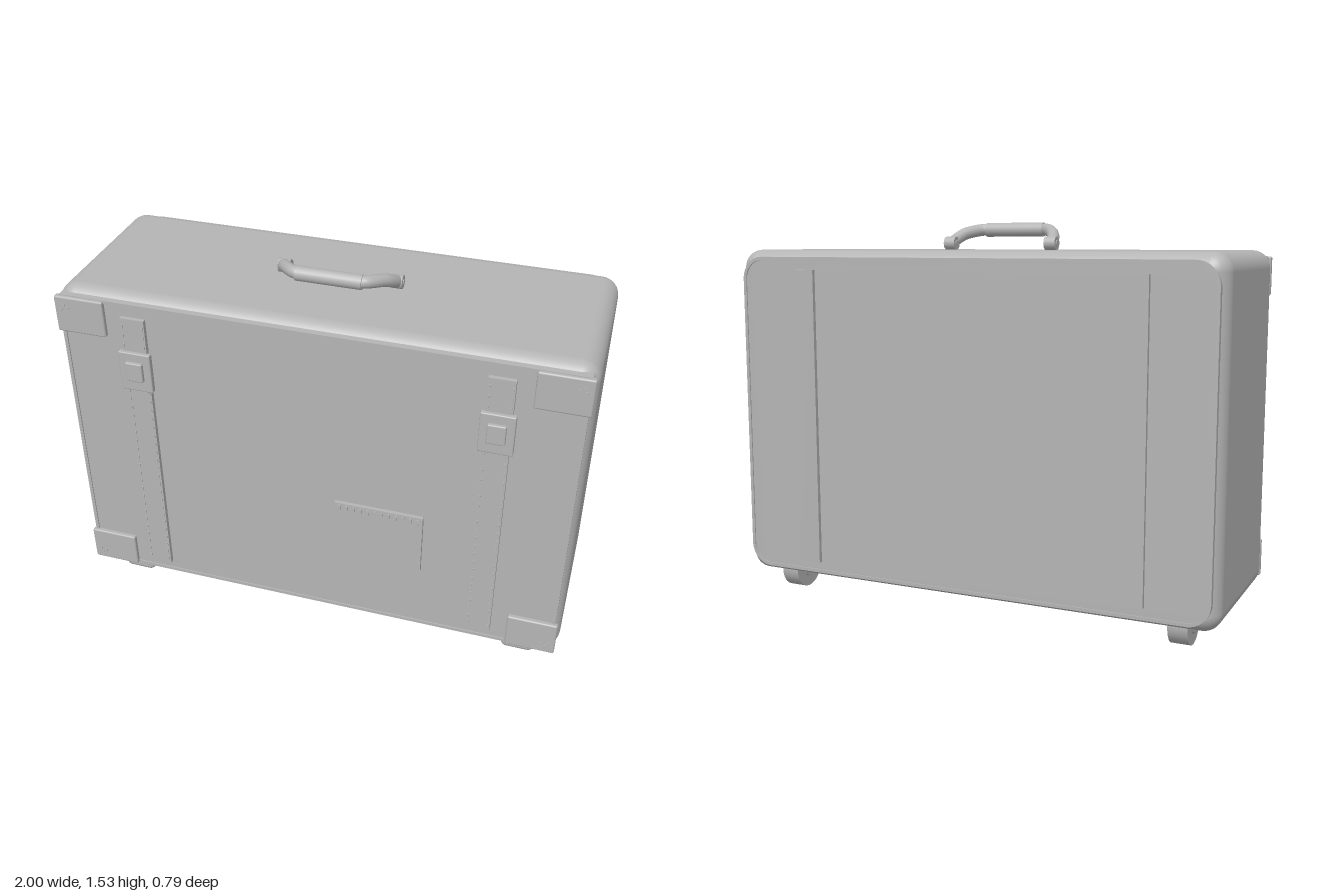
import * as THREE from 'three';
import { mergeGeometries } from 'three/addons/utils/BufferGeometryUtils.js';
import { RoundedBoxGeometry } from 'three/addons/geometries/RoundedBoxGeometry.js';

const grey = new THREE.MeshStandardMaterial({ color: 0xb4b4b4 });
grey.name = 'plain grey';

function add(parent, name, geometry, x = 0, y = 0, z = 0) {
  const mesh = new THREE.Mesh(geometry, grey);
  mesh.name = name;
  mesh.position.set(x, y, z);
  parent.add(mesh);
  return mesh;
}

const box = (w, h, d) => new THREE.BoxGeometry(w, h, d);
const rounded = (w, h, d, r) => new RoundedBoxGeometry(w, h, d, 3, r);

// Many small studs merged into one geometry
function studs(points, w, h, d) {
  return mergeGeometries(points.map(([x, y, z]) => box(w, h, d).translate(x, y, z)));
}

// Rounded rectangle outline centred on the origin
function outline(target, w, h, r) {
  const x = w / 2, y = h / 2;
  target.moveTo(-x + r, -y);
  target.lineTo(x - r, -y);
  target.absarc(x - r, -y + r, r, -Math.PI / 2, 0);
  target.lineTo(x, y - r);
  target.absarc(x - r, y - r, r, 0, Math.PI / 2);
  target.lineTo(-x + r, y);
  target.absarc(-x + r, y - r, r, Math.PI / 2, Math.PI);
  target.lineTo(-x, -y + r);
  target.absarc(-x + r, -y + r, r, Math.PI, Math.PI * 1.5);
  return target;
}

function frame(w, h, r, thick, depth) {
  const shape = outline(new THREE.Shape(), w, h, r);
  shape.holes.push(outline(new THREE.Path(), w - 2 * thick, h - 2 * thick, Math.max(r - thick, 0.003)));
  return new THREE.ExtrudeGeometry(shape, { depth, bevelEnabled: false, curveSegments: 8 });
}

// Carrying handle: a thick grip, two bent arms and a ring at each end
function makeHandle() {
  const handle = new THREE.Group();
  handle.name = 'handle';
  const grip = new THREE.CylinderGeometry(0.028, 0.028, 0.25, 20).rotateZ(Math.PI / 2);
  add(handle, 'grip', grip, 0, 1.5, 0.127);
  for (const s of [-1, 1]) {
    const path = new THREE.CatmullRomCurve3([
      [0.11, 1.5, 0.127], [0.14, 1.5, 0.118], [0.19, 1.485, 0.06],
      [0.208, 1.467, 0.025], [0.218, 1.447, -0.012],
    ].map(([x, y, z]) => new THREE.Vector3(s * x, y, z)));
    add(handle, 'handleArm', new THREE.TubeGeometry(path, 20, 0.024, 14));
    const eye = new THREE.CylinderGeometry(0.026, 0.026, 0.046, 20).rotateZ(Math.PI / 2);
    add(handle, 'handleEye', eye, s * 0.217, 1.446, -0.016);
    const pin = new THREE.CylinderGeometry(0.012, 0.012, 0.052, 12).rotateZ(Math.PI / 2);
    add(handle, 'handlePin', pin, s * 0.217, 1.446, -0.016);
  }
  return handle;
}

export function createModel() {
  const model = new THREE.Group();
  model.name = 'suitcase';

  // Case and the raised frames around its two large faces
  add(model, 'case', new RoundedBoxGeometry(2, 1.33, 0.725, 6, 0.07), 0, 0.755, -0.0145);
  add(model, 'frontPanel', box(1.95, 1.27, 0.03), 0, 0.755, 0.335);
  add(model, 'frontFrame', frame(1.96, 1.285, 0.01, 0.014, 0.035), 0, 0.755, 0.32);
  add(model, 'backPanel', new THREE.ExtrudeGeometry(outline(new THREE.Shape(), 1.93, 1.25, 0.08),
    { depth: 0.03, bevelEnabled: false }), 0, 0.755, -0.3775);
  add(model, 'backFrame', frame(1.95, 1.275, 0.09, 0.013, 0.04), 0, 0.755, -0.382);

  for (const s of [-1, 1]) {
    // Straps with two rows of stitching, and a buckle
    const cx = s * 0.683;
    add(model, 'frontStrap', box(0.097, 1.18, 0.02), cx, 0.753, 0.357);
    add(model, 'backStrap', box(0.097, 1.18, 0.018), cx, 0.753, -0.384);
    const stitches = [];
    for (let i = 0; i < 29; i++) {
      for (const dx of [-0.04, 0.04]) stitches.push([cx + dx, 0.19 + i * 0.04, 0.368]);
    }
    add(model, 'strapStitches', studs(stitches, 0.006, 0.014, 0.006));
    add(model, 'buckle', rounded(0.127, 0.165, 0.024, 0.005), cx, 1.124, 0.37);
    add(model, 'buckleButton', rounded(0.068, 0.08, 0.022, 0.005), cx, 1.13, 0.385);

    // Corner protectors with three rivets each
    for (const t of [-1, 1]) {
      const x = s * 0.893, y = 0.755 + t * 0.566;
      add(model, 'cornerPlate', rounded(0.196, 0.148, 0.024, 0.007), x, y, 0.356);
      const rivets = [[0.06, 0.04], [0.07, 0.022], [0.045, 0.03]].map(
        ([dx, dy]) => [x + s * dx, y + t * dy, 0.368]);
      add(model, 'cornerRivets', studs(rivets, 0.009, 0.009, 0.006));
    }

    // Front foot, and a rear wheel half sunk into the case
    add(model, 'foot', rounded(0.132, 0.1, 0.115, 0.022), s * 0.838, 0.051, 0.222);
    const wheel = new THREE.CylinderGeometry(0.084, 0.084, 0.075, 32).rotateZ(Math.PI / 2);
    add(model, 'wheel', wheel, s * 0.838, 0.085, -0.23);
    const hub = new THREE.CylinderGeometry(0.04, 0.04, 0.1, 24).rotateZ(Math.PI / 2);
    add(model, 'wheelHub', hub, s * 0.838, 0.085, -0.23);
  }

  // Luggage tag with a stitched top edge
  add(model, 'tag', box(0.348, 0.265, 0.016), 0.265, 0.536, 0.357);
  const tagStitches = Array.from({ length: 12 }, (_, i) => [0.111 + i * 0.028, 0.65, 0.367]);
  add(model, 'tagStitches', studs(tagStitches, 0.009, 0.022, 0.006));

  model.add(makeHandle());
  return model;
}
